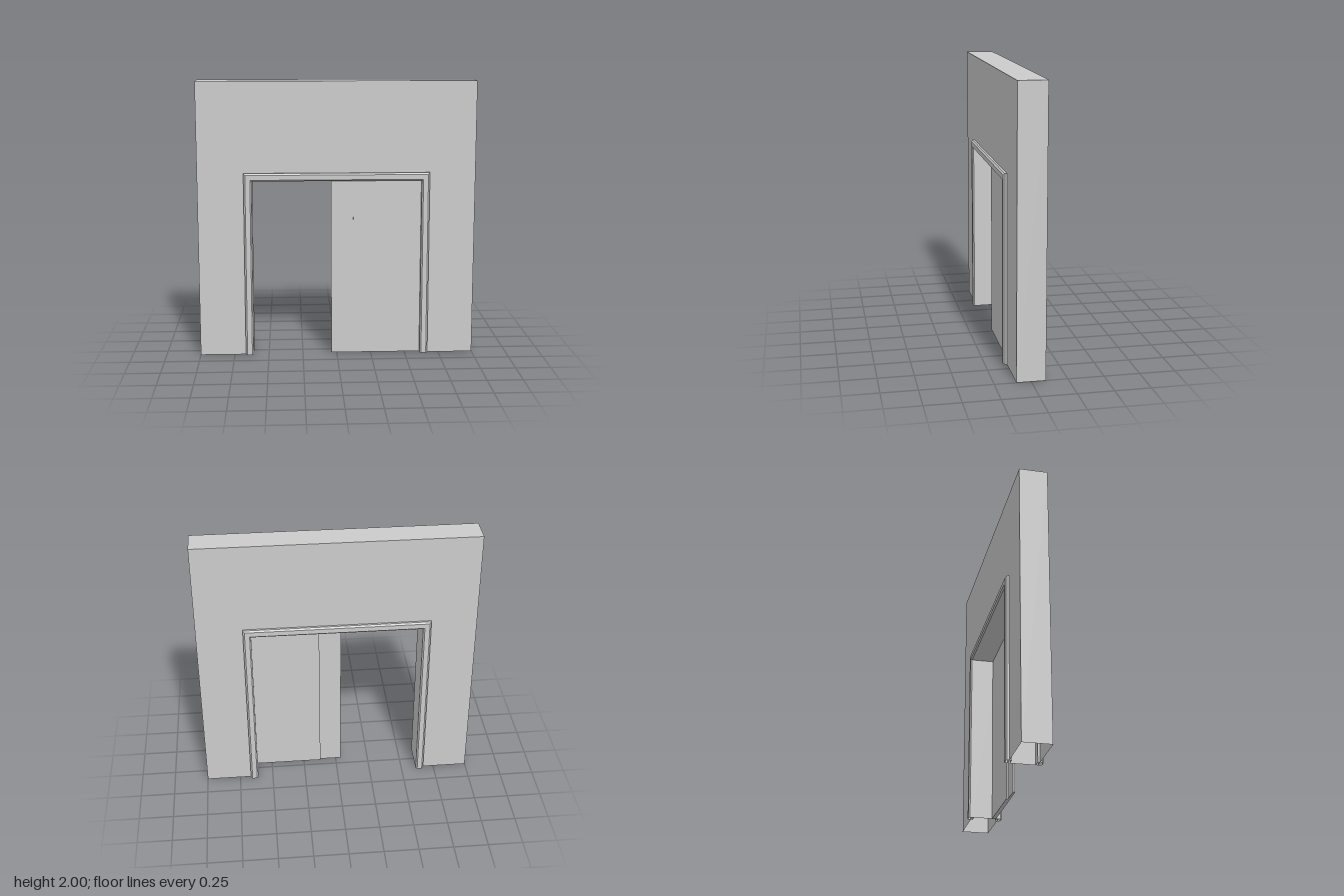
import * as THREE from 'three';

const HALF = 0.612, TOP = 1.288;   // opening half width and height
const grey = new THREE.MeshStandardMaterial({ color: 0xcccccc, side: THREE.DoubleSide });

function add(parent, name, geometry) {
  const mesh = new THREE.Mesh(geometry, grey);
  mesh.name = name;
  parent.add(mesh);
  return mesh;
}

// Wall with a doorway cut from the ground up; its underside is left open
function wallGeometry() {
  const pts = [[-1, 0], [-HALF, 0], [-HALF, TOP], [HALF, TOP], [HALF, 0], [1, 0], [1, 2], [-1, 2]];
  const shape = new THREE.Shape(pts.map(([x, y]) => new THREE.Vector2(x, y)));
  const full = new THREE.ExtrudeGeometry(shape, { depth: 0.2, bevelEnabled: false });
  full.translate(0, 0, -0.1);
  const p = full.attributes.position, kept = [];
  for (let i = 0; i < p.count; i += 3) {
    if (Math.max(p.getY(i), p.getY(i + 1), p.getY(i + 2)) < 1e-6) continue;
    for (let k = i; k < i + 3; k++) kept.push(p.getX(k), p.getY(k), p.getZ(k));
  }
  return flatGeometry(kept);
}

function flatGeometry(positions) {
  const g = new THREE.BufferGeometry();
  g.setAttribute('position', new THREE.Float32BufferAttribute(positions, 3));
  g.computeVertexNormals();
  return g;
}

// Moulding: a chamfered profile swept around the opening with mitred corners
function trimGeometry() {
  // [distance outward from the opening, z]
  const profile = [[0, 0.085], [0, 0.115], [0.01, 0.125], [0.045, 0.125], [0.057, 0.115], [0.057, 0.085]];
  const section = (sx, high) => profile.map(([d, z]) => [sx * (HALF + d), high ? TOP + d : 0, z]);
  const rings = [section(-1, false), section(-1, true), section(1, true), section(1, false)];
  const out = [];
  for (let r = 0; r < rings.length - 1; r++) {
    for (let i = 0; i < profile.length; i++) {
      const j = (i + 1) % profile.length;
      const a = rings[r][i], b = rings[r][j], c = rings[r + 1][j], d = rings[r + 1][i];
      out.push(...a, ...c, ...b, ...a, ...d, ...c);
    }
  }
  return flatGeometry(out);
}

// Box given by its limits
function panel(x0, x1, z0, z1) {
  return new THREE.BoxGeometry(x1 - x0, TOP, z1 - z0)
    .translate((x0 + x1) / 2, TOP / 2, (z0 + z1) / 2);
}

export function createModel() {
  const model = new THREE.Group();
  model.name = 'wallWithSlidingDoor';
  add(model, 'wall', wallGeometry());

  // Same moulding on both faces of the wall
  const trim = trimGeometry();
  add(model, 'frontTrim', trim);
  add(model, 'backTrim', trim).rotation.y = Math.PI;

  // Half-closed door in two stepped leaves
  const door = new THREE.Group();
  door.name = 'slidingDoor';
  add(door, 'wideLeaf', panel(0.12, HALF, 0.052, 0.081));
  add(door, 'narrowLeaf', panel(-0.04, 0.12, 0.064, 0.08));
  model.add(door);
  return model;
}
